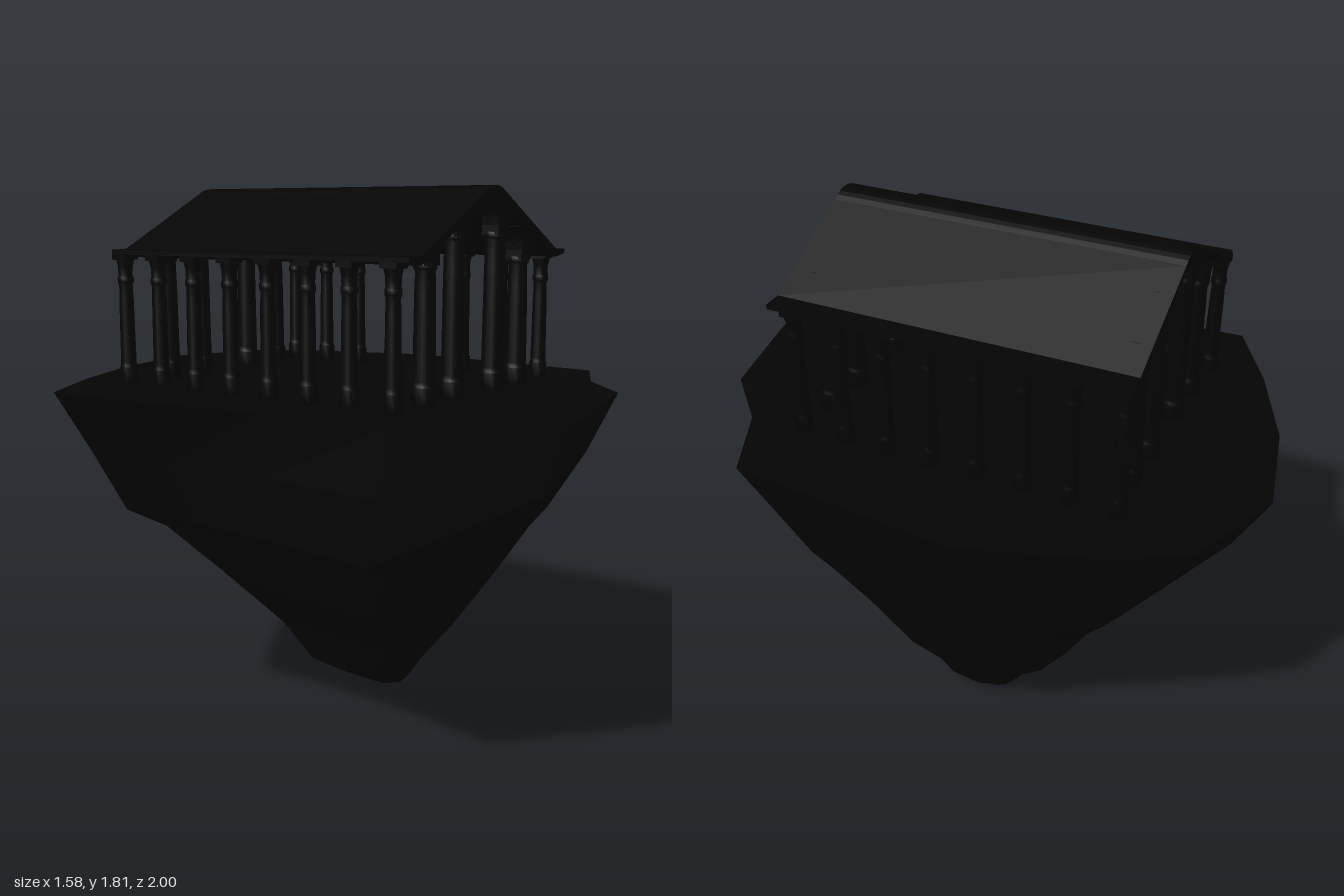
import * as THREE from 'three';

const stone = new THREE.MeshStandardMaterial({ color: 0x040404 });
stone.name = 'dark stone';

const GROUND = 1.15, MID = -0.03; // island top, temple centre line

function add(parent, name, geometry, x = 0, y = 0, z = 0) {
  const mesh = new THREE.Mesh(geometry, stone);
  mesh.name = name;
  mesh.position.set(x, y, z);
  parent.add(mesh);
  return mesh;
}

// Island: rings taken from four outlines and fitted to a box at each level
function islandGeometry() {
  const rim = [[-0.79, -0.64], [-0.52, -0.79], [-0.18, -0.93], [0.19, -1], [0.525, -0.86], [0.64, -0.66],
    [0.785, -0.22], [0.715, 0.555], [0.45, 0.68], [0.26, 0.86], [-0.02, 0.92], [-0.415, 1],
    [-0.72, 0.6], [-0.715, 0.16], [-0.775, -0.25]];
  const shoulder = [[-0.71, -0.56], [-0.46, -0.7], [-0.15, -0.82], [0.18, -0.89], [0.48, -0.75], [0.585, -0.58],
    [0.685, -0.19], [0.635, 0.49], [0.41, 0.61], [0.23, 0.77], [-0.02, 0.83], [-0.43, 0.94],
    [-0.72, 0.58], [-0.69, 0.16], [-0.705, -0.22]];
  const belly = [[-0.64, -0.48], [-0.4, -0.6], [-0.12, -0.7], [0.16, -0.74], [0.42, -0.63], [0.51, -0.49],
    [0.605, -0.16], [0.56, 0.42], [0.36, 0.52], [0.2, 0.65], [-0.02, 0.69], [-0.4, 0.74],
    [-0.72, 0.55], [-0.66, 0.16], [-0.64, -0.18]];
  const waist = [[-0.36, -0.3], [-0.24, -0.42], [-0.06, -0.49], [0.14, -0.51], [0.33, -0.44], [0.41, -0.34],
    [0.495, -0.1], [0.44, 0.28], [0.28, 0.36], [0.2, 0.46], [0, 0.5], [-0.22, 0.52],
    [-0.43, 0.37], [-0.41, 0.05], [-0.38, -0.12]];
  // outline, y, xMin, xMax, zMin, zMax
  const levels = [
    [rim, 1.15, -0.79, 0.785, -1, 1],
    [shoulder, 0.95, -0.72, 0.685, -0.89, 0.94],
    [belly, 0.75, -0.72, 0.605, -0.74, 0.74],
    [belly, 0.67, -0.57, 0.56, -0.67, 0.66],
    [waist, 0.49, -0.43, 0.495, -0.51, 0.52],
    [waist, 0.26, -0.18, 0.385, -0.36, 0.33],
    [waist, 0.12, -0.1, 0.28, -0.23, 0.21],
    [waist, 0.04, 0.04, 0.24, -0.16, 0.14],
  ];
  const rings = levels.map(([outline, y, x0, x1, z0, z1]) => {
    const fit = (k, lo, hi) => {
      const v = outline.map(p => p[k]), a = Math.min(...v), b = Math.max(...v);
      return v.map(n => lo + (n - a) / (b - a) * (hi - lo));
    };
    const xs = fit(0, x0, x1), zs = fit(1, z0, z1);
    return xs.map((x, i) => [x, y, zs[i]]);
  });
  const out = [], n = rim.length, last = rings[rings.length - 1];
  const tri = (...corners) => corners.forEach(c => out.push(...c));
  for (let i = 0; i < n; i++) {
    const j = (i + 1) % n;
    tri([0, GROUND, 0], rings[0][j], rings[0][i]);
    for (let r = 0; r < rings.length - 1; r++) {
      const a = rings[r], b = rings[r + 1];
      tri(a[i], a[j], b[j]);
      tri(a[i], b[j], b[i]);
    }
    tri([0.13, 0, -0.12], last[i], last[j]);
  }
  const g = new THREE.BufferGeometry();
  g.setAttribute('position', new THREE.Float32BufferAttribute(out, 3));
  g.computeVertexNormals();
  return g;
}

// Height of the roof's underside at a distance from the centre line
const under = d => Math.min(1.762, 1.575 + Math.max(0, 0.43 - Math.abs(d)) * 0.5);

// Column with round base, tapered shaft and moulded capital
function addColumn(parent, d, z, r) {
  const h = under(d) - GROUND + 0.008, base = r * 1.15;
  const profile = [[0.001, 0], [base, 0], [base, 0.055], [r * 1.02, 0.06], [r, 0.075], [r * 0.92, h * 0.65],
    [r * 0.86, h - 0.1], [r * 1.02, h - 0.09], [r * 1.02, h - 0.075], [r * 0.9, h - 0.07],
    [r * 0.95, h - 0.04], [r * 1.15, h - 0.015], [r * 1.15, h], [0.001, h]];
  const lathe = new THREE.LatheGeometry(profile.map(p => new THREE.Vector2(...p)), 16);
  add(parent, 'column', lathe, MID + d, GROUND, z);
}

// Flared bracket carrying the sloping roof above a front or back column
function addBracket(parent, d, z, r) {
  const w = r * 0.9, flare = w + 0.035, l = d - flare, k = d + flare;
  const s = new THREE.Shape();
  const foot = under(d) - 0.075;
  s.moveTo(d - w, foot);
  s.lineTo(d + w, foot);
  s.quadraticCurveTo(d + w, under(k) - 0.004, k, under(k) - 0.002);
  s.lineTo(k, under(k) + 0.006);
  s.lineTo(d, under(d) + 0.006);
  s.lineTo(l, under(l) + 0.006);
  s.lineTo(l, under(l) - 0.002);
  s.quadraticCurveTo(d - w, under(l) - 0.004, d - w, foot);
  const g = new THREE.ExtrudeGeometry(s, { depth: 0.06, bevelEnabled: false, curveSegments: 6 });
  add(parent, 'bracket', g, MID, 0, z - 0.03);
}

// Gabled roof sheet with a rounded ridge and flat eaves
function roofGeometry() {
  const s = new THREE.Shape();
  s.moveTo(-0.495, 1.6);
  s.lineTo(-0.495, 1.585);
  s.lineTo(-0.43, 1.575);
  s.lineTo(-0.08, 1.75);
  s.quadraticCurveTo(0, 1.775, 0.08, 1.75);
  s.lineTo(0.43, 1.575);
  s.lineTo(0.495, 1.585);
  s.lineTo(0.495, 1.6);
  s.lineTo(0.43, 1.602);
  s.lineTo(0.07, 1.783);
  s.quadraticCurveTo(0, 1.828, -0.07, 1.783);
  s.lineTo(-0.43, 1.602);
  return new THREE.ExtrudeGeometry(s, { depth: 1.18, bevelEnabled: false, curveSegments: 8 });
}

export function createModel() {
  const model = new THREE.Group();
  add(model, 'island', islandGeometry());

  const temple = new THREE.Group();
  temple.name = 'temple';
  model.add(temple);
  add(temple, 'roof', roofGeometry(), MID, 0, -0.625);

  for (const side of [-1, 1]) {
    // Side colonnade with flat capitals
    for (let i = 0; i < 8; i++) {
      const z = 0.483 - i * 0.1545;
      addColumn(temple, side * 0.463, z, 0.026);
      add(temple, 'capital', new THREE.BoxGeometry(0.06, 0.02, 0.06), MID + side * 0.463, 1.577, z);
    }
    // Taller columns of the front and back porticoes
    for (const z of [0.483, -0.572]) {
      for (const d of [0.128, 0.293]) {
        addColumn(temple, side * d, z, 0.036);
        addBracket(temple, side * d, z, 0.036);
      }
    }
  }
  return model;
}
